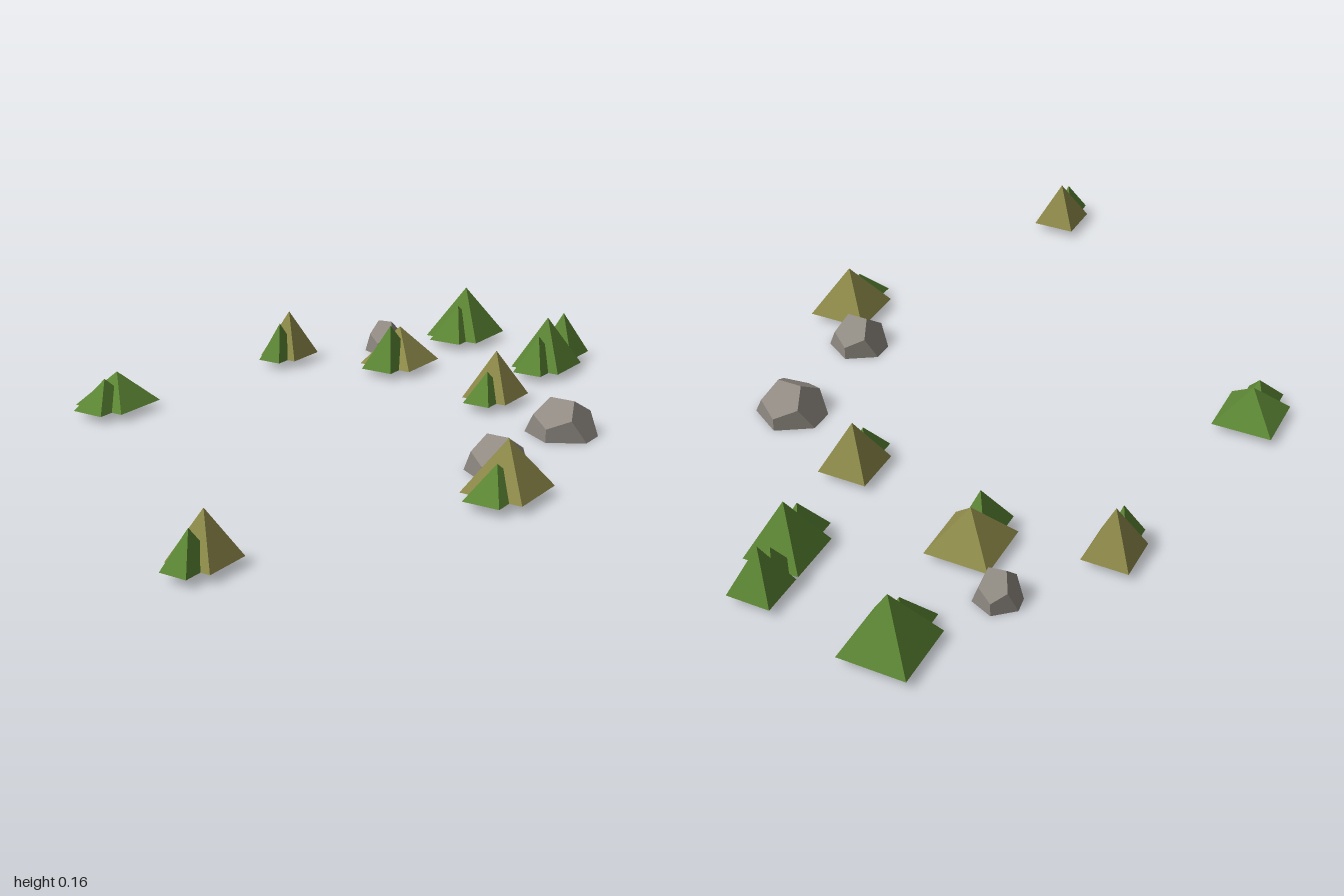
import * as THREE from 'three';

const green = new THREE.MeshStandardMaterial({ color: 0x5c8634, name: 'greenCanvas' });
const olive = new THREE.MeshStandardMaterial({ color: 0x8e8a4a, name: 'oliveCanvas' });
const stone = new THREE.MeshStandardMaterial({ color: 0x928c84, name: 'stone' });
const GROUND = 0.02;

// Four-sided pyramid with its base on the ground plane
function pyramid(name, halfX, halfZ, apexY, material) {
  const h = apexY - GROUND;
  const geo = new THREE.ConeGeometry(Math.SQRT2, h, 4).toNonIndexed();
  geo.rotateY(Math.PI / 4);
  geo.translate(0, h / 2 + GROUND, 0);
  geo.scale(halfX, 1, halfZ);
  geo.computeVertexNormals();
  const mesh = new THREE.Mesh(geo, material);
  mesh.name = name;
  return mesh;
}

// Tent: main canopy plus a narrow porch pushed out towards the front
function tent({ x, z, half, top, porch, front, mat }) {
  const g = new THREE.Group();
  g.name = 'tent';
  const porchHalfZ = half * 0.92;
  const entrance = pyramid('porch', half * 0.59, porchHalfZ, porch, green);
  entrance.position.z = front - z - porchHalfZ;
  g.add(pyramid('canopy', half, half, top, mat), entrance);
  g.position.set(x, 0, z);
  return g;
}

// Boulder: dodecahedron flattened below its equator
function boulder({ x, z, r, height, turn }) {
  const geo = new THREE.DodecahedronGeometry(r);
  const p = geo.attributes.position;
  const sy = height / (r * 0.934);
  for (let i = 0; i < p.count; i++) p.setY(i, Math.max(0, p.getY(i) * sy));
  geo.computeVertexNormals();
  const mesh = new THREE.Mesh(geo, stone);
  mesh.name = 'boulder';
  mesh.position.set(x, 0, z);
  mesh.rotation.y = turn;
  return mesh;
}

export function createModel() {
  const model = new THREE.Group();
  model.name = 'campsite';

  const tents = [
    { x: -0.161, z: -0.915, half: 0.085, top: 0.162, porch: 0.115, front: -0.79, mat: green },
    { x: 0.181, z: -0.884, half: 0.056, top: 0.139, porch: 0.1, front: -0.785, mat: green },
    { x: 0.198, z: -0.748, half: 0.073, top: 0.158, porch: 0.115, front: -0.628, mat: green },
    { x: -0.169, z: -0.548, half: 0.081, top: 0.123, porch: 0.136, front: -0.423, mat: olive },
    { x: -0.476, z: -0.436, half: 0.059, top: 0.147, porch: 0.121, front: -0.335, mat: olive },
    { x: 0.216, z: -0.412, half: 0.065, top: 0.144, porch: 0.098, front: -0.304, mat: olive },
    { x: 0.578, z: 0.197, half: 0.08, top: 0.143, porch: 0.097, front: 0.323, mat: olive },
    { x: -0.586, z: 0.193, half: 0.078, top: 0.105, porch: 0.097, front: 0.314, mat: green },
    { x: 0.254, z: 0.895, half: 0.059, top: 0.133, porch: 0.106, front: 1.0, mat: olive },
  ];
  tents.forEach((t) => model.add(tent(t)));

  const boulders = [
    { x: 0.48, z: -0.275, r: 0.093, height: 0.092, turn: 0 },
    { x: 0.479, z: 0.065, r: 0.079, height: 0.092, turn: 0 },
    { x: -0.298, z: -0.675, r: 0.058, height: 0.091, turn: 0.15 },
  ];
  boulders.forEach((b) => model.add(boulder(b)));

  return model;
}
